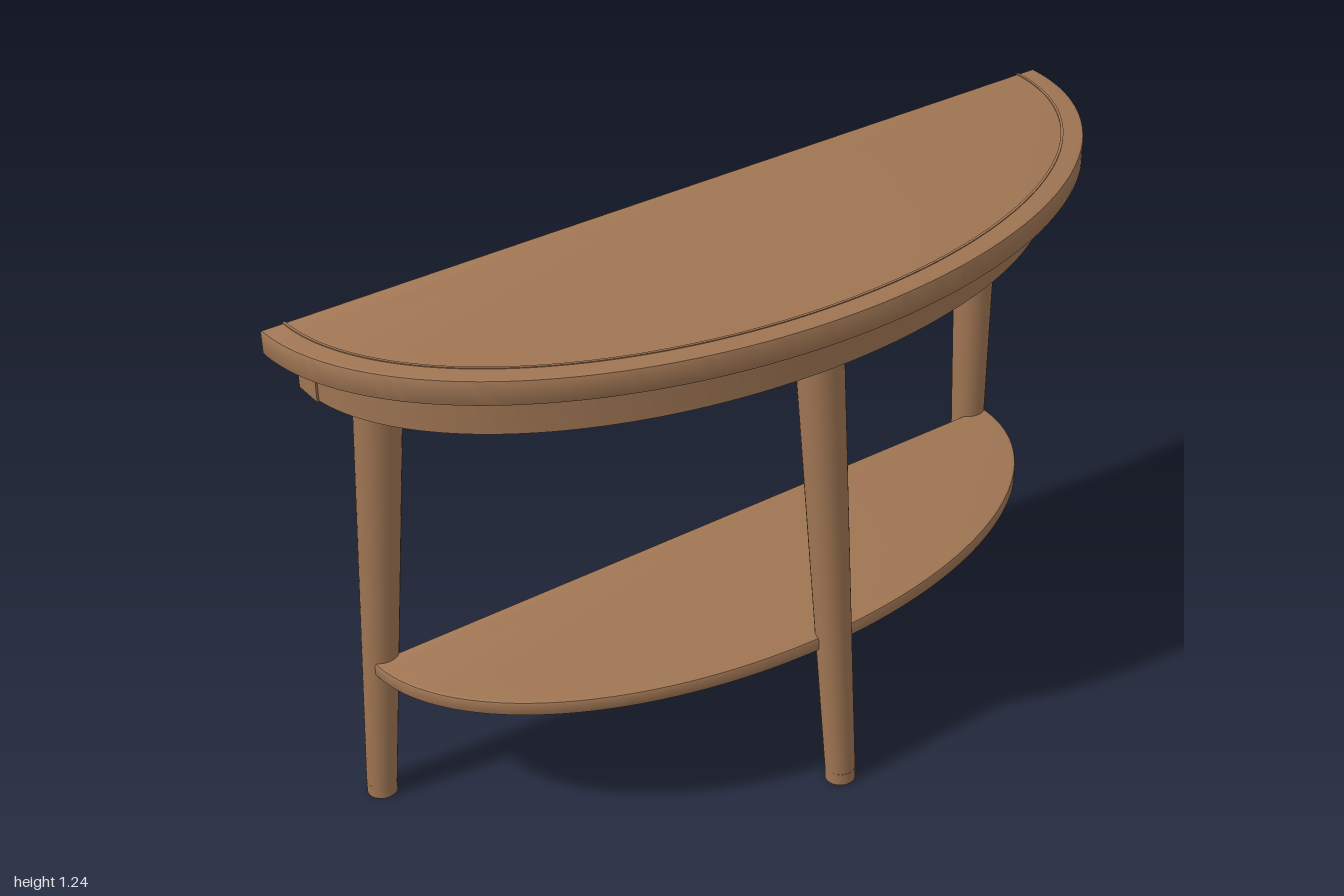
import * as THREE from 'three';
import { toCreasedNormals } from 'three/addons/utils/BufferGeometryUtils.js';

const wood = new THREE.MeshStandardMaterial({ color: 0x9f7553 });
wood.name = 'warm wood';

function addPart(group, name, geometry) {
  const mesh = new THREE.Mesh(geometry, wood);
  mesh.name = name;
  group.add(mesh);
  return mesh;
}

// Half-ellipse outline bulging toward the front from a straight back edge
function halfEllipse(rx, rz, zBack) {
  return new THREE.Shape().absellipse(0, zBack, rx, rz, 0, Math.PI, false).closePath();
}

// Curved band between two half ellipses
function halfRing(rx, rz, zBack, width) {
  return new THREE.Shape()
    .absellipse(0, zBack, rx, rz, 0, Math.PI, false)
    .absellipse(0, zBack, rx - width, rz - width, Math.PI, 0, true)
    .closePath();
}

// Horizontal board between two heights, with softened edges
function board(shape, y0, y1, bevel = 0) {
  const geo = new THREE.ExtrudeGeometry(shape, {
    depth: y1 - y0 - 2 * bevel,
    curveSegments: 64,
    bevelEnabled: bevel > 0,
    bevelThickness: bevel,
    bevelSize: bevel,
    bevelOffset: -bevel,
    bevelSegments: 2,
  });
  geo.rotateX(Math.PI / 2);
  geo.translate(0, y1 - bevel, 0);
  return toCreasedNormals(geo, 0.5);
}

// Tapered leg leaning from a foot point to a head point, cut level at both ends
function leg(foot, head) {
  const y0 = 0.02, y1 = 1.182, height = y1 - y0;
  const geo = new THREE.CylinderGeometry(0.054, 0.034, height, 32);
  geo.translate(0, height / 2 + y0, 0);
  const p = geo.attributes.position;
  for (let i = 0; i < p.count; i++) {
    const t = (p.getY(i) - y0) / height;
    p.setX(i, p.getX(i) + foot[0] + (head[0] - foot[0]) * t);
    p.setZ(i, p.getZ(i) + foot[1] + (head[1] - foot[1]) * t);
  }
  return geo;
}

export function createModel() {
  const table = new THREE.Group();
  table.name = 'halfMoonTable';

  // Top with a fine raised inlay line
  addPart(table, 'tableTop', board(halfEllipse(1, 0.642, -0.308), 1.18, 1.237, 0.006));
  addPart(table, 'inlayLine', board(halfRing(0.953, 0.594, -0.306, 0.006), 1.235, 1.239));

  // Curved apron and straight back rail
  addPart(table, 'curvedApron', board(halfRing(0.922, 0.559, -0.3, 0.02), 1.072, 1.182));
  const rail = addPart(table, 'backRail', new THREE.BoxGeometry(1.846, 0.13, 0.073));
  rail.position.set(0, 1.135, -0.289);

  // Lower shelf
  addPart(table, 'shelf', board(halfEllipse(0.857, 0.503, -0.26), 0.35, 0.385, 0.006));

  // Three splayed legs, each on a short straight foot
  const legs = [
    ['frontLeg', [0, 0.275], [0, 0.17]],
    ['leftBackLeg', [0.847, -0.3], [0.784, -0.241]],
    ['rightBackLeg', [-0.847, -0.3], [-0.784, -0.241]],
  ];
  for (const [name, foot, head] of legs) {
    const group = new THREE.Group();
    group.name = name;
    addPart(group, 'shaft', leg(foot, head));
    const pad = addPart(group, 'foot', new THREE.CylinderGeometry(0.034, 0.034, 0.03, 32));
    pad.position.set(foot[0], 0.015, foot[1]);
    table.add(group);
  }

  return table;
}
